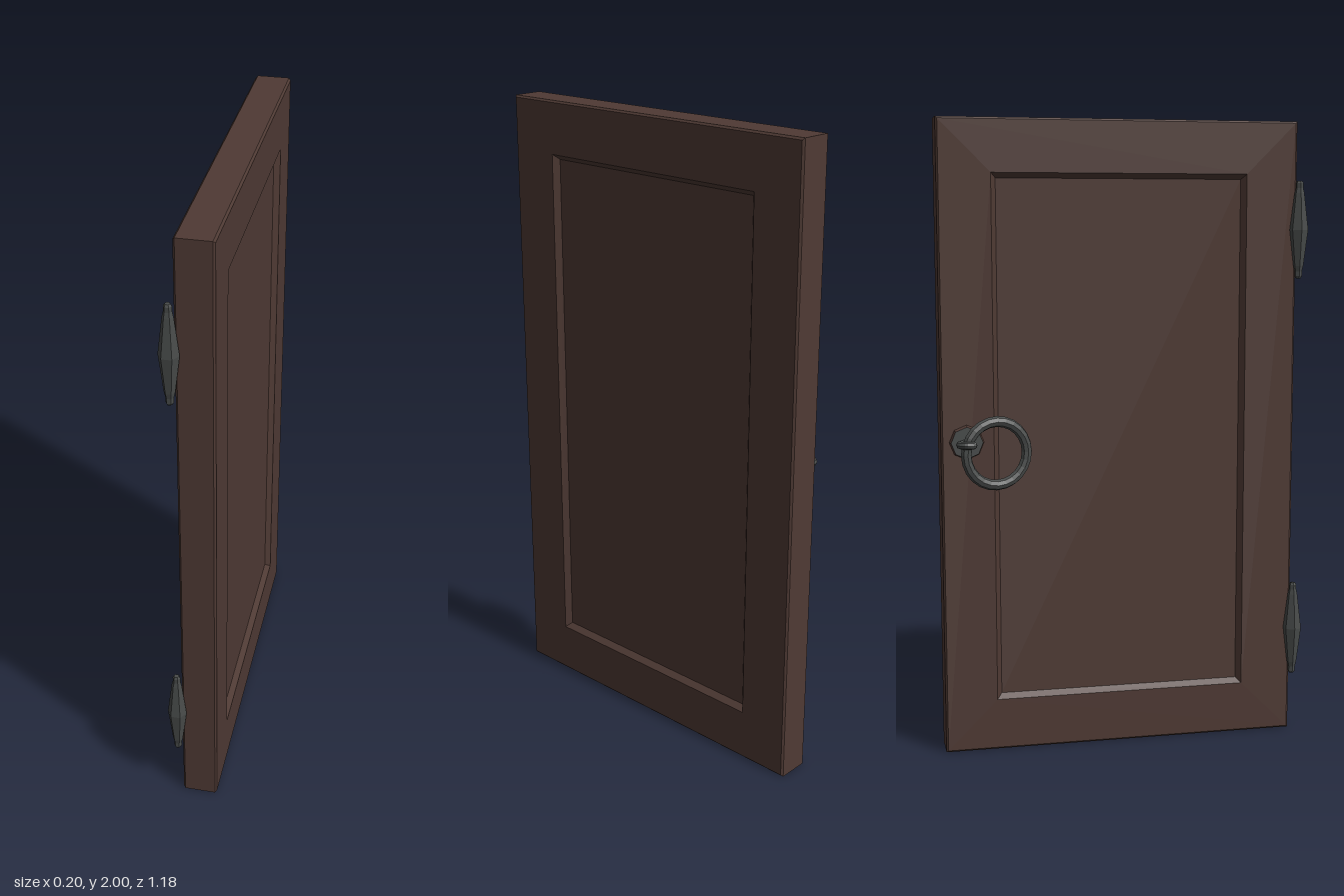
import * as THREE from 'three';

const wood = new THREE.MeshStandardMaterial({ color: 0x4f3a34, flatShading: true });
wood.name = 'dark wood';
const iron = new THREE.MeshStandardMaterial({ color: 0x484b4a, flatShading: true });
iron.name = 'iron';

// Door slab as nested rectangles running from the -x panel around to the +x panel
function doorGeometry() {
  const x0 = -0.0125, x1 = 0.098, z0 = -0.59, z1 = 0.556, h = 2;
  const chamfer = 0.006, frame = 0.166, slope = 0.016, depth = 0.018;
  const loops = [
    [x0 + depth, frame + slope], [x0, frame], [x0, chamfer], [x0 + chamfer, 0],
    [x1 - chamfer, 0], [x1, chamfer], [x1, frame], [x1 - depth, frame + slope],
  ].map(([x, i]) => [
    [x, i, z0 + i], [x, i, z1 - i], [x, h - i, z1 - i], [x, h - i, z0 + i],
  ]);
  const pos = [];
  const quad = (a, b, c, d) => pos.push(...a, ...b, ...c, ...a, ...c, ...d);
  quad(...loops[0]);
  for (let i = 0; i < loops.length - 1; i++) {
    const a = loops[i], b = loops[i + 1];
    for (let j = 0; j < 4; j++) {
      const k = (j + 1) % 4;
      quad(a[j], b[j], b[k], a[k]);
    }
  }
  quad(...loops[loops.length - 1].slice().reverse());
  const g = new THREE.BufferGeometry();
  g.setAttribute('position', new THREE.Float32BufferAttribute(pos, 3));
  g.computeVertexNormals();
  return g;
}

export function createModel() {
  const model = new THREE.Group();
  const add = (name, geometry, material, x = 0, y = 0, z = 0) => {
    const m = new THREE.Mesh(geometry, material);
    m.name = name;
    m.position.set(x, y, z);
    model.add(m);
    return m;
  };

  add('doorSlab', doorGeometry(), wood);

  // Six-sided spindle hinges
  const profile = [
    [0, -0.154], [0.008, -0.154], [0.012, -0.147], [0.012, -0.132], [0.016, -0.115], [0.03, 0],
    [0.016, 0.115], [0.012, 0.132], [0.012, 0.147], [0.008, 0.154], [0, 0.154],
  ].map(([r, y]) => new THREE.Vector2(r, y));
  const hinge = new THREE.LatheGeometry(profile, 6, Math.PI / 2);
  add('lowerHinge', hinge, iron, -0.027, 0.35, 0.56);
  add('upperHinge', hinge, iron, -0.027, 1.66, 0.56);

  // Handle: back plate, stem, hook and hanging ring
  const plate = add('handlePlate', new THREE.CylinderGeometry(0.05, 0.055, 0.018, 8),
    [wood, iron, iron], -0.02, 1.005, -0.51);
  plate.rotation.z = Math.PI / 2;
  const stem = add('handleStem', new THREE.CylinderGeometry(0.01, 0.012, 0.03, 8), iron, -0.033, 1.005, -0.505);
  stem.rotation.z = Math.PI / 2;

  const hookCurve = new THREE.CatmullRomCurve3(Array.from({ length: 9 }, (_, i) => {
    const a = THREE.MathUtils.degToRad(140 + i * 26);
    return new THREE.Vector3(0.024 * Math.cos(a), 0, 0.024 * Math.sin(a));
  }));
  add('handleHook', new THREE.TubeGeometry(hookCurve, 14, 0.012, 8), iron, -0.065, 1.005, -0.512);
  for (const p of [hookCurve.getPoint(0), hookCurve.getPoint(1)]) {
    add('hookEnd', new THREE.SphereGeometry(0.012, 8, 6), iron, p.x - 0.065, 1.005, p.z - 0.512);
  }

  const ring = add('handleRing', new THREE.TorusGeometry(0.1, 0.017, 8, 24), iron, -0.042, 0.972, -0.42);
  ring.rotation.y = Math.PI / 2 + Math.atan2(0.045, 0.195) + Math.PI;
  return model;
}
